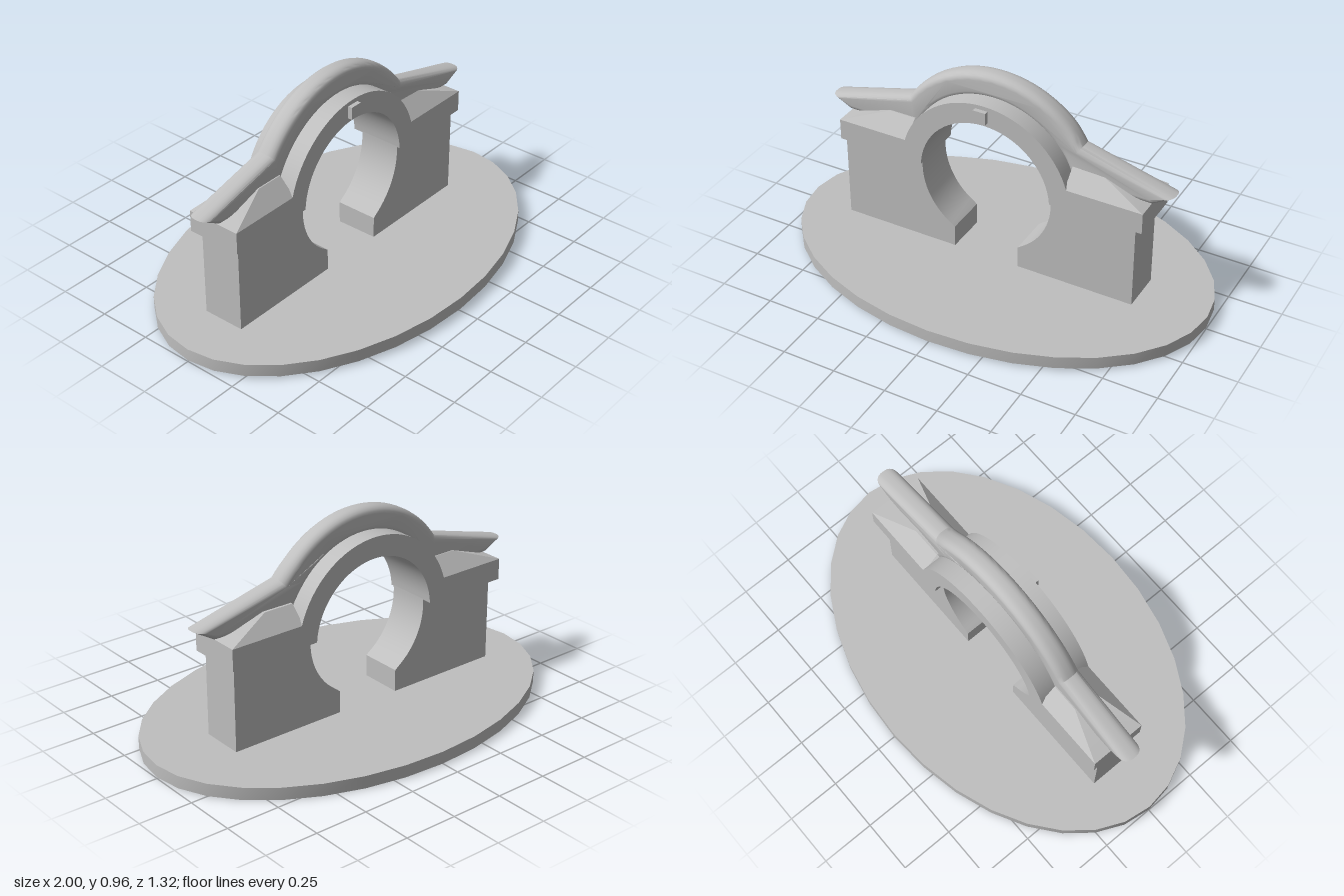
import * as THREE from 'three';
import { toCreasedNormals } from 'three/addons/utils/BufferGeometryUtils.js';

const stone = new THREE.MeshStandardMaterial({ color: 0xbfbfbf, side: THREE.DoubleSide });
stone.name = 'grey stone';

// Centre and radii of the round opening and its mouldings
const CX = -0.04, CY = 0.45, R_IN = 0.32, R_ARCH = 0.417, R_HOOD = 0.517;

const V = (x, y) => new THREE.Vector2(x, y);

// Points along a circle about the opening, from angle a to angle b
function arc(r, a, b, n = 32) {
  return Array.from({ length: n + 1 }, (_, i) => {
    const t = a + (b - a) * i / n;
    return V(CX + r * Math.cos(t), CY + r * Math.sin(t));
  });
}

// Angle at which a circle of radius r crosses height y on the +x side
const angleAt = (r, y) => Math.asin((y - CY) / r);

function add(group, name, geometry) {
  const mesh = new THREE.Mesh(toCreasedNormals(geometry, 0.6), stone);
  mesh.name = name;
  group.add(mesh);
  return mesh;
}

function slab(points, z0, z1) {
  const g = new THREE.ExtrudeGeometry(new THREE.Shape(points), { depth: z1 - z0, bevelEnabled: false });
  return g.translate(0, 0, z0);
}

export function createModel() {
  const model = new THREE.Group();
  model.name = 'archway';

  // Oval base, tipped very slightly towards the back
  const oval = new THREE.CylinderGeometry(1, 1, 0.058, 32);
  oval.scale(1, 1, 0.66);
  oval.rotateX(-0.0085);
  add(model, 'base', oval.translate(0, 0.038, 0));

  // Two piers hollowed by the round opening
  for (const s of [-1, 1]) {
    const curve = arc(R_IN, angleAt(R_IN, 0.17), angleAt(R_IN, 0.48), 16)
      .map(p => V(CX + s * (p.x - CX), p.y));
    const pts = [V(CX + s * 0.72, 0.05), V(CX + s * 0.16, 0.05), V(CX + s * 0.16, 0.17),
      ...curve.slice(1), V(CX + s * 0.72, 0.48)];
    add(model, s < 0 ? 'rightPier' : 'leftPier', slab(pts, -0.12, 0.08));
  }

  // Impost bands joined by the arch ring
  const o = angleAt(R_ARCH, 0.57), i = angleAt(R_IN, 0.47);
  add(model, 'archAndImposts', slab([
    V(0.715, 0.47), V(0.715, 0.57),
    ...arc(R_ARCH, o, Math.PI - o),
    V(-0.78, 0.57), V(-0.78, 0.47),
    ...arc(R_IN, Math.PI - i, i),
  ], -0.165, 0.095));

  // Hipped slopes resting on the imposts
  for (const s of [-1, 1]) {
    const X = s < 0 ? -0.78 : 0.715;
    const inner = CX + s * 0.39, hip = X - s * 0.22;
    const p = [
      [X, 0.57, 0.095], [X, 0.57, -0.165], [inner, 0.57, 0.095], [inner, 0.57, -0.165],
      [hip, 0.645, 0.02], [hip, 0.645, -0.09], [inner, 0.645, 0.02], [inner, 0.645, -0.09],
    ];
    const g = new THREE.BufferGeometry();
    g.setAttribute('position', new THREE.Float32BufferAttribute(p.flat(), 3));
    const idx = [0, 2, 6, 0, 6, 4, 1, 5, 7, 1, 7, 3, 0, 4, 5, 0, 5, 1, 4, 6, 7, 4, 7, 5];
    if (s > 0) for (let k = 0; k < idx.length; k += 3) [idx[k], idx[k + 1]] = [idx[k + 1], idx[k]];
    g.setIndex(idx);
    add(model, s < 0 ? 'rightSlope' : 'leftSlope', g);
  }

  // Rounded hood running over the arch, with a sloping arm on each side
  const h = angleAt(R_HOOD + 0.01, 0.75), u = angleAt(0.4, 0.57);
  const hood = new THREE.ExtrudeGeometry(new THREE.Shape([
    V(0.72, 0.572), V(0.815, 0.63),
    ...arc(R_HOOD, h, Math.PI - h),
    V(-0.875, 0.63), V(-0.78, 0.572),
    ...arc(0.4, Math.PI - u, u),
  ]), {
    depth: 0.02, bevelEnabled: true, bevelThickness: 0.04,
    bevelSize: 0.03, bevelOffset: -0.03, bevelSegments: 5,
  });
  hood.translate(0, 0, -0.045);
  // The left arm sits a little further forward
  const pos = hood.attributes.position;
  for (let k = 0; k < pos.count; k++) {
    const t = THREE.MathUtils.smoothstep(pos.getX(k), 0.3, 0.42);
    pos.setZ(k, pos.getZ(k) + 0.015 * t);
  }
  add(model, 'hood', hood);

  // Small block at the crown of the arch
  add(model, 'keystone', new THREE.BoxGeometry(0.06, 0.058, 0.06).translate(-0.05, 0.818, 0.085));

  return model;
}
